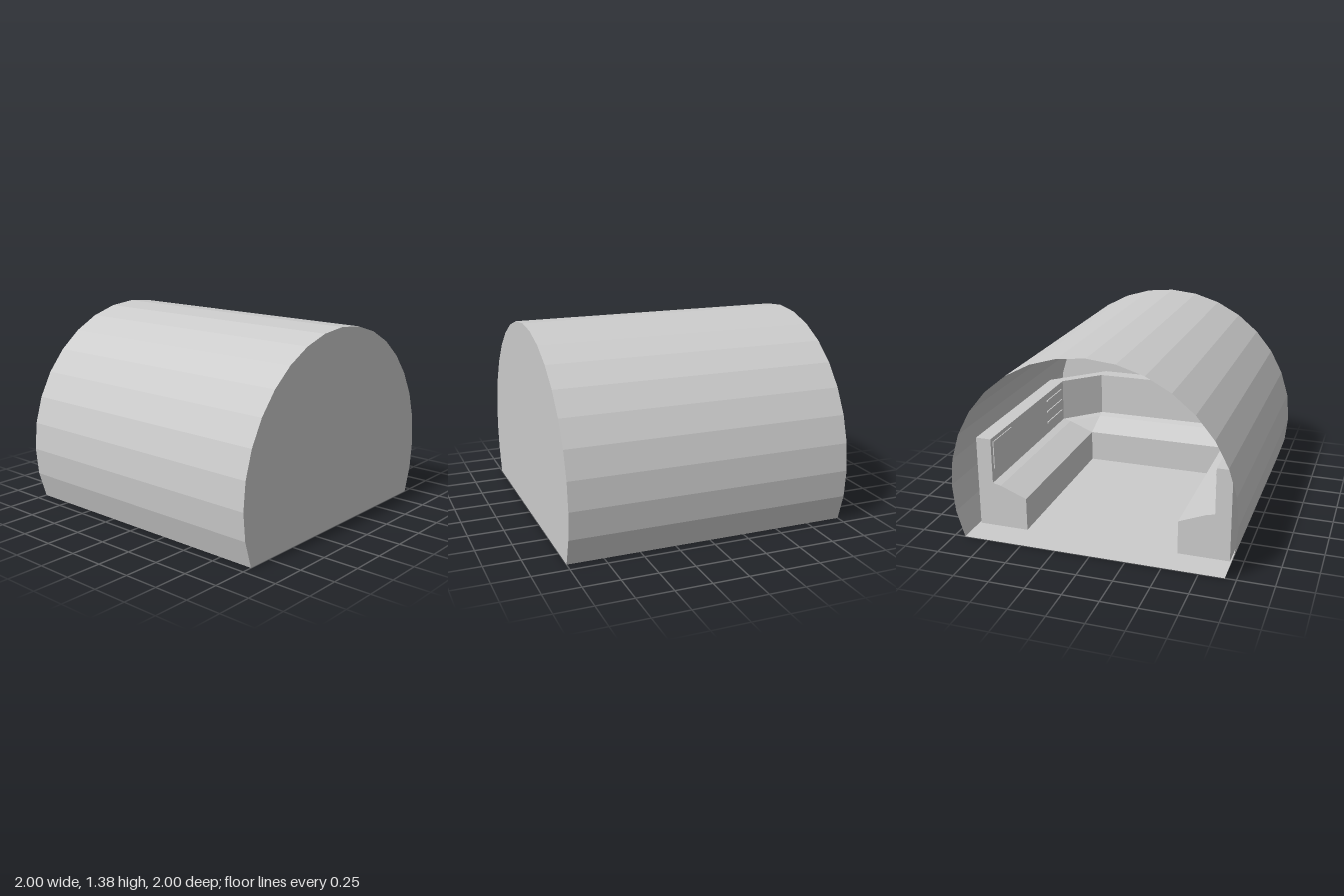
import * as THREE from 'three';

const CENTRE_Y = Math.sin(Math.PI / 8); // height of the vault axis above the floor
const BACK = -0.78, CORNER = 0.55;

export function createModel() {
  const group = new THREE.Group();
  const grey = new THREE.MeshStandardMaterial({ color: 0xcccccc, flatShading: true, side: THREE.DoubleSide });
  grey.name = 'plain grey';

  const add = (name, geometry, x = 0, y = 0, z = 0) => {
    const mesh = new THREE.Mesh(geometry, grey);
    mesh.name = name;
    mesh.position.set(x, y, z);
    group.add(mesh);
    return mesh;
  };

  // Faceted vault, open at the back
  const vault = new THREE.CylinderGeometry(1, 1, 2, 20, 1, true, Math.PI * 0.375, Math.PI * 1.25);
  vault.rotateX(Math.PI / 2);
  add('vault', vault, 0, CENTRE_Y, 0);

  // Front wall follows the vault outline
  const arc = [];
  for (let i = 0; i <= 20; i++) {
    const a = -Math.PI / 8 + (i * Math.PI) / 16;
    arc.push(new THREE.Vector2(Math.cos(a), CENTRE_Y + Math.sin(a)));
  }
  add('frontWall', new THREE.ShapeGeometry(new THREE.Shape(arc)), 0, 0, 1);

  // Floor
  const floor = new THREE.PlaneGeometry(2 * Math.cos(Math.PI / 8), 2);
  floor.rotateX(-Math.PI / 2);
  add('floor', floor);

  // Console section: distance from the middle, height
  const profile = [[0.55, 0], [0.55, 0.24], [0.74, 0.316], [0.8, 0.33], [0.8, 0.66], [0.91, 0.66], [0.91, 0]];

  // U-shaped run along both sides and the front, with angled corners
  const station = ([d, y]) => [
    [d, y, BACK], [d, y, CORNER], [CORNER, y, d],
    [-CORNER, y, d], [-d, y, CORNER], [-d, y, BACK],
  ];
  const positions = [];
  const triangle = (a, b, c) => positions.push(...a, ...b, ...c);
  for (let p = 0; p < profile.length - 1; p++) {
    const low = station(profile[p]), high = station(profile[p + 1]);
    for (let s = 0; s < low.length - 1; s++) {
      const pinchLow = low[s].every((v, k) => v === low[s + 1][k]);
      const pinchHigh = high[s].every((v, k) => v === high[s + 1][k]);
      if (!pinchLow) triangle(low[s], low[s + 1], high[s + 1]);
      if (!pinchHigh) triangle(low[s], high[s + 1], high[s]);
    }
  }
  const run = new THREE.BufferGeometry();
  run.setAttribute('position', new THREE.Float32BufferAttribute(positions, 3));
  run.computeVertexNormals();
  add('console', run);

  for (const side of [1, -1]) {
    // Console end
    const outline = profile.map(([d, y]) => new THREE.Vector2(-side * d, y));
    const end = new THREE.ShapeGeometry(new THREE.Shape(outline));
    end.rotateY(Math.PI);
    add('consoleEnd', end, 0, 0, BACK);

    // Plain screen at one end of the upright, slatted vent at the other
    add('screen', new THREE.BoxGeometry(0.008, 0.2, 0.3), side * 0.797, 0.53, side > 0 ? -0.6 : 0.36);
    for (const y of [0.42, 0.51, 0.6]) {
      add('ventSlat', new THREE.BoxGeometry(0.012, 0.012, 0.3), side * 0.797, y, side > 0 ? 0.36 : -0.6);
    }
  }
  return group;
}
